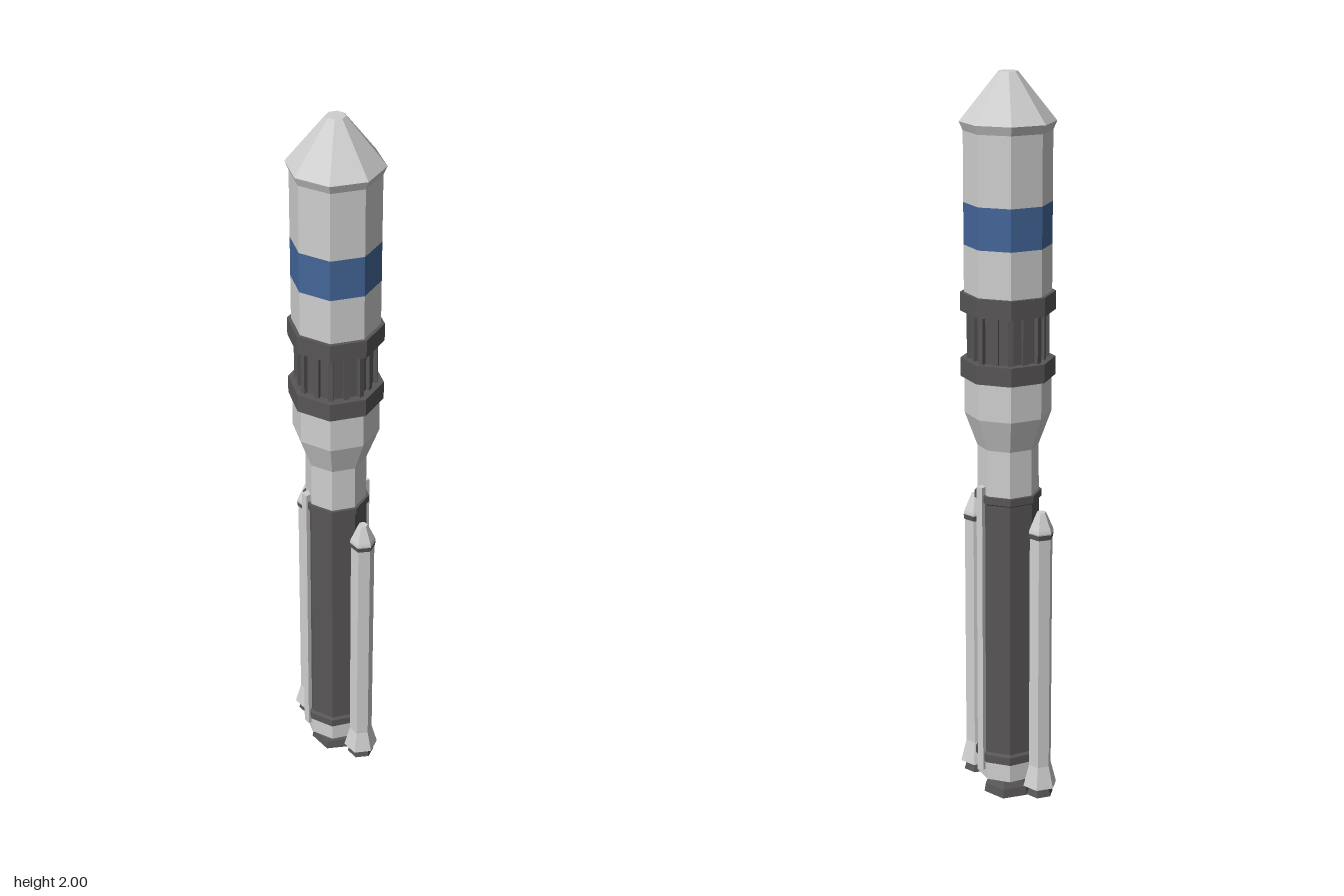
import * as THREE from 'three';

const mat = (name, color) => new THREE.MeshStandardMaterial({ name, color, flatShading: true });

export function createModel() {
  const white = mat('paleGrey', 0xcfcfcf);
  const dark = mat('charcoal', 0x585656);
  const blue = mat('bandBlue', 0x446699);

  const rocket = new THREE.Group();
  rocket.name = 'rocket';

  const add = (parent, name, geometry, material, x = 0, y = 0, z = 0) => {
    const mesh = new THREE.Mesh(geometry, material);
    mesh.name = name;
    mesh.position.set(x, y, z);
    parent.add(mesh);
    return mesh;
  };

  // Faceted solid of revolution from [radius, y] pairs, bottom to top, first corner on +x
  const turned = (parent, name, profile, sides, material) => {
    const points = profile.map(([r, y]) => new THREE.Vector2(r, y));
    const geometry = new THREE.LatheGeometry(points, sides, Math.PI / 2);
    return add(parent, name, geometry, material);
  };

  // Core stage with collars
  turned(rocket, 'coreNozzle',
    [[0, 0], [0.07, 0], [0.066, 0.025], [0.05, 0.05], [0.032, 0.062], [0, 0.062]], 6, dark);
  turned(rocket, 'coreSkirt', [[0, 0.06], [0.087, 0.06], [0.087, 0.115], [0, 0.115]], 8, white);
  turned(rocket, 'coreStage',
    [[0, 0.112], [0.09, 0.112], [0.09, 0.135], [0.084, 0.142], [0.084, 0.868],
      [0.09, 0.872], [0.09, 0.892], [0, 0.892]], 8, dark);

  // Narrow neck flaring into the upper stage
  turned(rocket, 'neck',
    [[0, 0.89], [0.082, 0.89], [0.082, 1.02], [0.115, 1.11], [0.115, 1.215], [0, 1.215]], 8, white);

  // Interstage: two collars, a recessed drum and vertical struts
  for (const y of [1.21, 1.386]) {
    turned(rocket, 'interstageCollar',
      [[0, y], [0.125, y], [0.125, y + 0.05], [0, y + 0.05]], 8, dark);
  }
  turned(rocket, 'interstageDrum', [[0.1, 1.255], [0.1, 1.39]], 8, dark);
  const strut = new THREE.BoxGeometry(0.012, 0.13, 0.014);
  for (let i = 0; i < 16; i++) {
    const a = (i * Math.PI) / 8;
    const r = i % 2 ? 0.096 : 0.102;
    add(rocket, 'interstageStrut', strut, dark, r * Math.cos(a), 1.322, r * Math.sin(a)).rotation.y = -a;
  }

  // Payload fairing, split around its coloured band
  turned(rocket, 'fairingLower', [[0, 1.43], [0.115, 1.43], [0.115, 1.56]], 8, white);
  turned(rocket, 'fairingBand', [[0.115, 1.56], [0.115, 1.67]], 8, blue);
  turned(rocket, 'fairingUpper', [[0.115, 1.67], [0.115, 1.852]], 8, white);
  turned(rocket, 'noseCone',
    [[0.115, 1.852], [0.125, 1.875], [0.025, 2], [0, 2]], 8, white);

  // Side boosters and cable ducts, repeated by a half turn
  for (const s of [1, -1]) {
    const booster = new THREE.Group();
    booster.name = s > 0 ? 'leftBooster' : 'rightBooster';
    booster.position.x = s * 0.117;
    rocket.add(booster);
    turned(booster, 'boosterNozzle',
      [[0, 0.025], [0.038, 0.025], [0.03, 0.056], [0, 0.056]], 6, dark);
    turned(booster, 'boosterBody',
      [[0, 0.053], [0.048, 0.053], [0.032, 0.115], [0.032, 0.782], [0.035, 0.8],
        [0.033, 0.808], [0.013, 0.854], [0, 0.854]], 6, white);
    turned(booster, 'boosterBand', [[0.0335, 0.783], [0.0355, 0.797]], 6, dark);

    const duct = new THREE.BoxGeometry(0.02, 0.83, 0.022);
    add(rocket, s > 0 ? 'frontDuct' : 'backDuct', duct, white, -s * 0.022, 0.5, s * 0.08);
  }
  return rocket;
}
